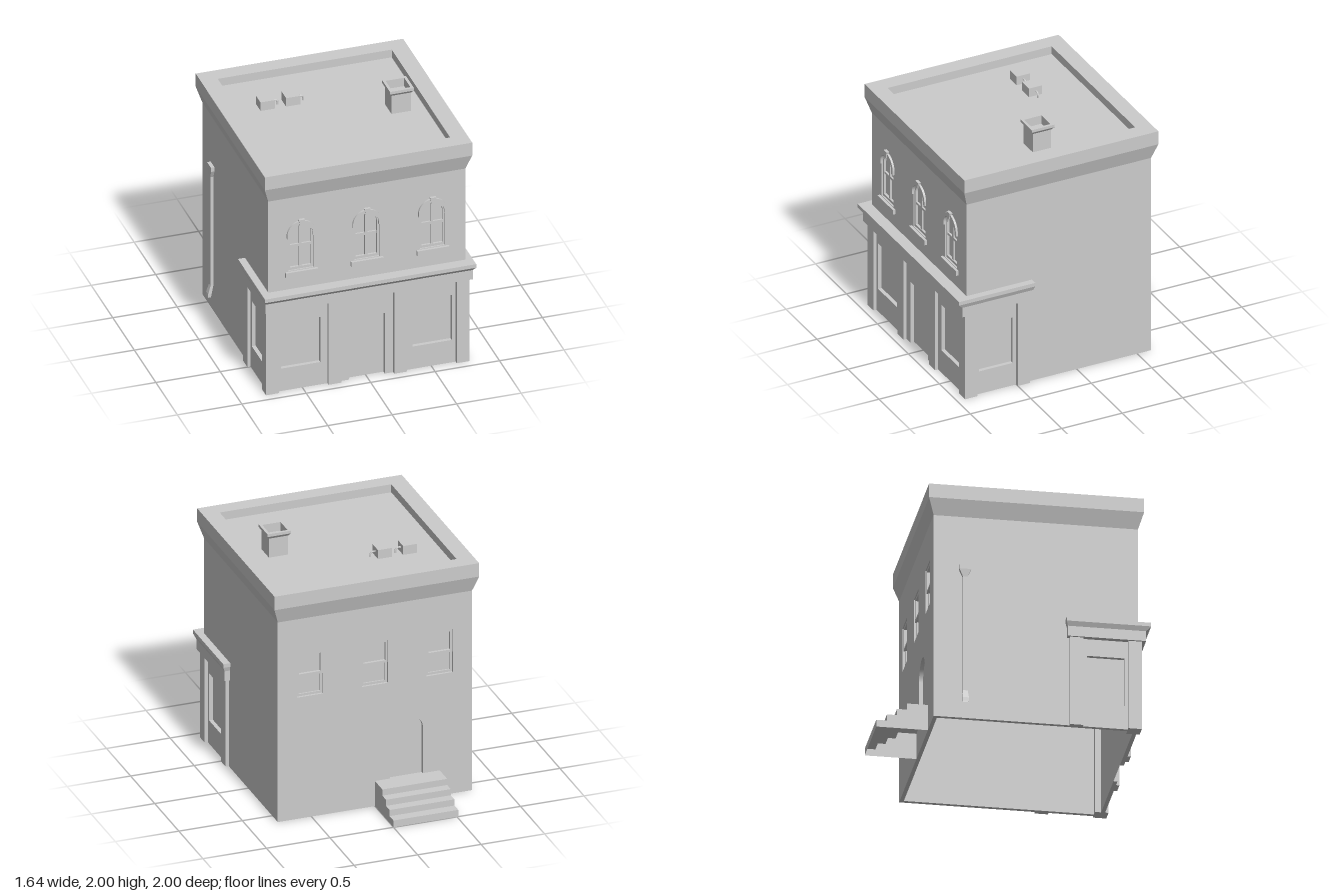
import * as THREE from 'three';

const mat = new THREE.MeshStandardMaterial({ color: 0xcccccc, flatShading: true, side: THREE.DoubleSide });
const D = 0.03; // wall thickness, also the depth of every recess

function add(parent, name, geo, x = 0, y = 0, z = 0) {
  const m = new THREE.Mesh(geo, mat);
  m.name = name;
  m.position.set(x, y, z);
  parent.add(m);
  return m;
}

// box given by its limits
function box(parent, name, x0, x1, y0, y1, z0, z1) {
  return add(parent, name, new THREE.BoxGeometry(x1 - x0, y1 - y0, z1 - z0),
    (x0 + x1) / 2, (y0 + y1) / 2, (z0 + z1) / 2);
}

// skin over a stack of rings of [x, y, z] points
function loft(rings, closed = true, cap = false) {
  const p = [];
  const n = rings[0].length;
  const tri = (...pts) => pts.forEach((q) => p.push(...q));
  for (let i = 0; i + 1 < rings.length; i++) {
    for (let j = 0; j < (closed ? n : n - 1); j++) {
      const k = (j + 1) % n;
      const [a, b, c, d] = [rings[i][j], rings[i][k], rings[i + 1][k], rings[i + 1][j]];
      tri(a, b, c, a, c, d);
    }
  }
  const t = rings[rings.length - 1];
  if (cap) tri(t[0], t[1], t[2], t[0], t[2], t[3]);
  const g = new THREE.BufferGeometry();
  g.setAttribute('position', new THREE.Float32BufferAttribute(p, 3));
  g.computeVertexNormals();
  return g;
}

const rect = (x0, x1, z0, z1, y) => [[x0, y, z1], [x1, y, z1], [x1, y, z0], [x0, y, z0]];

const poly = (pts) => new THREE.Shape(pts.map((q) => new THREE.Vector2(...q)));
const rectShape = (x0, x1, y0, y1) => poly([[x0, y0], [x1, y0], [x1, y1], [x0, y1]]);

// round-headed opening
function archShape(cx, hw, y0, spring) {
  const s = new THREE.Shape();
  s.moveTo(cx - hw, y0);
  s.lineTo(cx + hw, y0);
  s.lineTo(cx + hw, spring);
  s.absarc(cx, spring, hw, 0, Math.PI, false);
  s.closePath();
  return s;
}

function extrude(parent, name, shape, z0, z1, holes = []) {
  shape.holes.push(...holes);
  return add(parent, name, new THREE.ExtrudeGeometry(shape,
    { depth: z1 - z0, bevelEnabled: false, curveSegments: 14 }), 0, 0, z0);
}

// wall in its own frame: u right, y up, outer face at z = 0; openings get a panel behind
function wall(root, name, outline, openings, pos, turn) {
  const g = new THREE.Group();
  g.name = name;
  g.position.set(...pos);
  g.rotation.y = turn;
  root.add(g);
  for (const o of openings) add(g, 'recessedPanel', new THREE.ShapeGeometry(o, 14), 0, 0, -D);
  extrude(g, 'wallSurface', poly(outline), -D, 0, openings);
  return g;
}

function archedWindow(g, cx) {
  extrude(g, 'windowFrame', archShape(cx, 0.097, 1.01, 1.3), -D, -0.012, [archShape(cx, 0.082, 1.03, 1.305)]);
  box(g, 'mullion', cx - 0.01, cx + 0.01, 1.03, 1.38, -D, -0.016);
  box(g, 'transom', cx - 0.082, cx + 0.082, 1.2, 1.22, -D, -0.016);
  box(g, 'sill', cx - 0.125, cx + 0.125, 0.965, 1.005, -0.01, 0.022);
  // hood moulding with keystone
  const s = new THREE.Shape();
  s.moveTo(cx + 0.088, 1.29);
  s.lineTo(cx + 0.112, 1.29);
  s.absarc(cx, 1.315, 0.112, 0, Math.PI, false);
  s.lineTo(cx - 0.112, 1.29);
  s.lineTo(cx - 0.088, 1.29);
  s.absarc(cx, 1.31, 0.088, Math.PI, 0, true);
  extrude(g, 'hoodMoulding', s, 0, 0.016);
  extrude(g, 'keystone', poly([[cx - 0.015, 1.39], [cx + 0.015, 1.39], [cx + 0.024, 1.44], [cx - 0.024, 1.44]]), 0, 0.023);
}

function sashWindow(g, cx) {
  const [a, b] = [cx - 0.103, cx + 0.103];
  for (const [y0, y1, z] of [[0.99, 1.17, -0.018], [1.155, 1.34, -0.008]]) {
    extrude(g, 'windowSash', rectShape(a, b, y0, y1), -D, z,
      [rectShape(a + 0.018, b - 0.018, y0 + 0.018, y1 - 0.018)]);
  }
}

export function createModel() {
  const root = new THREE.Group();
  root.name = 'cornerShop';
  const W = 0.765, F = 0.91, B = -0.615, H = 1.64;
  const bays = [-0.51, 0, 0.51];

  // front wall with doorway notch, shop windows and arched windows
  const front = wall(root, 'frontWall',
    [[-W, 0], [-0.14, 0], [-0.14, 0.515], [0.14, 0.515], [0.14, 0], [W, 0], [W, H], [-W, H]],
    [rectShape(-0.665, -0.36, 0.19, 0.575), rectShape(0.355, 0.66, 0.19, 0.575),
      ...bays.map((x) => archShape(x, 0.097, 1.01, 1.3))], [0, 0, F], 0);
  add(front, 'frontDoor', new THREE.ShapeGeometry(rectShape(-0.14, 0.14, 0, 0.515)), 0, 0, -D);
  bays.forEach((x) => archedWindow(front, x));

  // back wall with sash windows and arched door
  const back = wall(root, 'backWall', [[-W, 0], [W, 0], [W, H], [-W, H]],
    [archShape(0.25, 0.13, 0.2, 0.57), ...bays.map((x) => rectShape(x - 0.103, x + 0.103, 0.99, 1.34))],
    [0, 0, B], Math.PI);
  bays.forEach((x) => sashWindow(back, x));

  // side walls, each with one shop window, and the pilasters
  for (const s of [-1, 1]) {
    const [u0, u1] = s > 0 ? [-F, -B] : [B, F];
    const win = s > 0 ? rectShape(-0.81, -0.53, 0.19, 0.575) : rectShape(0.53, 0.81, 0.19, 0.575);
    wall(root, 'sideWall', [[u0, 0], [u1, 0], [u1, H], [u0, H]], [win], [s * W, 0, 0], s * Math.PI / 2);
    const span = (a, b) => (s > 0 ? [a, b] : [-b, -a]);
    box(root, 'cornerPilaster', ...span(0.69, 0.79), 0, 0.71, 0.835, 0.935);
    box(root, 'frontPilaster', ...span(0.205, 0.305), 0, 0.71, F - D, 0.935);
    box(root, 'sidePilaster', ...span(W - D, 0.79), 0, 0.71, 0.4, 0.5);
  }

  // shop frieze and cornice wrapping three sides
  const band = (x, zf, zb, y) => [[-W, y, zb], [-x, y, zb], [-x, y, zf], [x, y, zf], [x, y, zb], [W, y, zb]];
  add(root, 'shopCornice', loft([
    band(W, F, 0.38, 0.71), band(0.805, 0.965, 0.38, 0.71), band(0.805, 0.965, 0.38, 0.79),
    band(0.82, 1, 0.37, 0.825), band(0.82, 1, 0.37, 0.855), band(W, F, 0.37, 0.855)], false));

  // roof cornice, parapet and sunken roof
  add(root, 'roofCornice', loft([
    rect(-W, W, B, F, 1.63), rect(-0.805, 0.805, -0.655, 0.95, 1.755),
    rect(-0.805, 0.805, -0.655, 0.95, 1.865), rect(-0.675, 0.675, -0.53, 0.825, 1.865),
    rect(-0.675, 0.675, -0.53, 0.825, 1.8)], true, true));

  // chimney with flared hollow cap
  const sq = (h, y) => rect(0.485 - h, 0.485 + h, 0.1825 - h, 0.1825 + h, y);
  add(root, 'chimney', loft([sq(0.075, 1.8), sq(0.075, 1.955), sq(0.093, 1.978), sq(0.093, 2),
    sq(0.072, 2), sq(0.072, 1.93)], true, true));

  // roof units with bent pipes
  for (const x of [-0.49, -0.292]) {
    box(root, 'roofUnit', x, x + 0.11, 1.8, 1.872, -0.2, -0.09);
    const path = new THREE.CatmullRomCurve3([[0.105, 1.84], [0.135, 1.84], [0.148, 1.83], [0.15, 1.8]]
      .map(([dx, y]) => new THREE.Vector3(x + dx, y, -0.145)));
    add(root, 'roofUnitPipe', new THREE.TubeGeometry(path, 8, 0.007, 8));
  }

  // drainpipe with hopper head and kicked-out foot
  const r = (x0, x1, h, y) => rect(x0, x1, -0.382 - h, -0.382 + h, y);
  add(root, 'drainpipe', loft([r(-0.81, -0.785, 0.024, 0.12), r(-0.807, -0.78, 0.024, 0.15),
    r(-0.787, -W, 0.018, 0.215), r(-0.787, -W, 0.018, 1.14), r(-0.793, -W, 0.045, 1.2),
    r(-0.793, -W, 0.045, 1.235)], true, true));

  // back steps, open underneath
  const steps = [[-1, 0]];
  [-1, -0.92, -0.845, -0.77].forEach((z, i, a) => {
    const y = 0.055 + i * 0.05;
    steps.push([z, y], [i < 3 ? a[i + 1] : B, y]);
  });
  add(root, 'stepTreads', loft(steps.map(([z, y]) => [[0, y, z], [-0.51, y, z]]), false));
  const side = new THREE.ShapeGeometry(poly([...steps, [B, 0]].map(([z, y]) => [-z, y])));
  for (const x of [0, -0.51]) add(root, 'stepSide', side, x).rotation.y = Math.PI / 2;

  return root;
}
